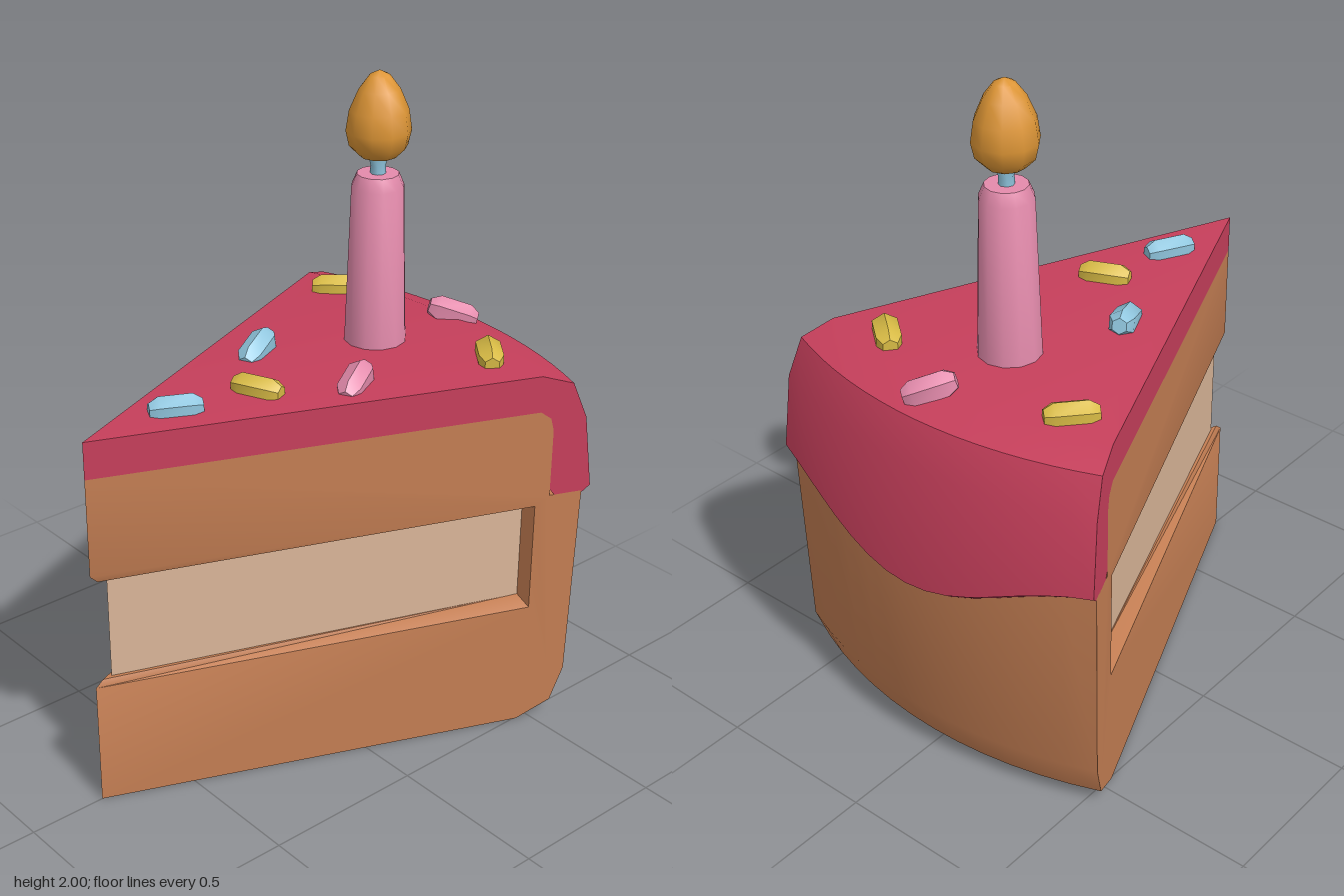
import * as THREE from 'three';
import { toCreasedNormals } from 'three/addons/utils/BufferGeometryUtils.js';

const HALF = Math.PI / 8; // half angle of the slice
const TIP = 0.76; // z of the slice's point
const TOP = 1.18;

const mat = (name, color) => {
  const m = new THREE.MeshStandardMaterial({ color });
  m.name = name;
  return m;
};

// Point of the slice: distance from the tip, angle, height
const at = (r, t, y) => new THREE.Vector3(r * Math.sin(t), y, TIP - r * Math.cos(t));

// Collects triangles and turns them into a geometry with softened edges
class Surface {
  pos = [];
  tri(a, b, c, flip) {
    if (b.clone().sub(a).cross(c.clone().sub(a)).length() < 1e-8) return;
    for (const p of flip ? [a, c, b] : [a, b, c]) this.pos.push(p.x, p.y, p.z);
  }
  quad(a, b, c, d, flip) {
    this.tri(a, b, c, flip);
    this.tri(a, c, d, flip);
  }
  // Sweeps a bottom-to-top profile(t) around the tip
  sweep(profile, steps = 12) {
    for (let i = 0; i < steps; i++) {
      const t0 = HALF * (2 * i / steps - 1), t1 = HALF * (2 * (i + 1) / steps - 1);
      const p = profile(t0).map(([r, y]) => at(r, t0, y));
      const q = profile(t1).map(([r, y]) => at(r, t1, y));
      for (let j = 0; j < p.length - 1; j++) this.quad(p[j], p[j + 1], q[j + 1], q[j]);
    }
  }
  // Flat cut faces on both sides
  cutFaces(outline) {
    const pts = outline.map(([r, y]) => new THREE.Vector2(r, y));
    for (const s of [1, -1]) {
      for (const f of THREE.ShapeUtils.triangulateShape(pts, []))
        this.tri(...f.map(k => at(pts[k].x, s * HALF, pts[k].y)), s < 0);
    }
  }
  build(crease) {
    const g = new THREE.BufferGeometry();
    g.setAttribute('position', new THREE.Float32BufferAttribute(this.pos, 3));
    return toCreasedNormals(g, crease);
  }
}

function spongeGeometry() {
  const s = new Surface();
  const outer = [[0, 0], [1.32, 0], [1.43, 0.05], [1.47, 0.16], [1.488, 0.785],
    [1.385, 0.785], [1.385, 1.0], [1.375, 1.04], [1.342, 1.065], [0, 1.065]];
  const groove = [[0, 0.39], [1.34, 0.405], [1.34, 0.755], [0, 0.76]];
  s.sweep(() => outer);
  s.cutFaces([...outer, ...[...groove].reverse()]);

  // Sloping rim of the filling groove
  const inner = side => [[0, 0.41, 0.735], [0.46, 0.427, -0.48], [0.46, 0.74, -0.48], [0, 0.735, 0.735]]
    .map(([x, y, z]) => new THREE.Vector3(side * x, y, z));
  for (const side of [1, -1]) {
    const a = groove.map(([r, y]) => at(r, side * HALF, y)), b = inner(side);
    for (let k = 0; k < 3; k++) s.quad(a[k], a[k + 1], b[k + 1], b[k], side < 0);
  }
  // Ledges in front of the filling
  const l = inner(-1), r = inner(1);
  s.tri(r[0], r[1], l[1]);
  s.tri(r[3], l[2], r[2]);
  return s.build(0.7);
}

function icingGeometry() {
  const s = new Surface();
  const crown = [[1.487, 1.03], [1.44, 1.145], [1.34, TOP], [0, TOP]];
  // The lower edge droops in the middle of the back
  s.sweep(t => {
    const y = 0.79 - 0.155 * Math.cos(Math.PI * t / (2 * HALF)) ** 2;
    return [[1.4, y - 0.005], [1.49, y - 0.01], [1.515, y + 0.01], ...crown];
  }, 16);
  s.cutFaces([[0, 1.065], [1.342, 1.065], [1.375, 1.04], [1.385, 1.0], [1.385, 0.805],
    [1.4, 0.785], [1.49, 0.78], [1.515, 0.8], ...crown]);
  return s.build(0.75);
}

// Wedge of cream set back from the cut faces
function fillingGeometry() {
  const shape = new THREE.Shape([[0, -0.705], [0.46, 0.48], [-0.46, 0.48]].map(p => new THREE.Vector2(...p)));
  return new THREE.ExtrudeGeometry(shape, { depth: 0.34, bevelEnabled: false })
    .rotateX(-Math.PI / 2).translate(0, 0.405, 0);
}

const lathe = (points, sides, crease = 0.9) =>
  toCreasedNormals(new THREE.LatheGeometry(points.map(p => new THREE.Vector2(...p)), sides), crease);

export function createModel() {
  const model = new THREE.Group();
  model.name = 'cakeSlice';
  const sponge = mat('sponge brown', 0xc47e53);
  const icing = mat('icing red', 0xc63f5b);
  const cream = mat('cream', 0xdab598);
  const pink = mat('candle pink', 0xe48bac);
  const blue = mat('pale blue', 0x90c6de);
  const yellow = mat('sprinkle yellow', 0xd8bb45);
  const orange = mat('flame orange', 0xdd9535);

  const add = (name, geometry, material, parent = model) => {
    const mesh = new THREE.Mesh(geometry, material);
    mesh.name = name;
    parent.add(mesh);
    return mesh;
  };

  add('sponge', spongeGeometry(), sponge);
  add('filling', fillingGeometry(), cream);
  add('icing', icingGeometry(), icing);

  // Candle
  const candle = new THREE.Group();
  candle.name = 'candle';
  candle.position.set(0, 0, -0.295);
  model.add(candle);
  add('candleStick', lathe([[0, 1.16], [0.094, 1.16], [0.078, 1.66], [0.062, 1.697], [0, 1.697]], 12), pink, candle);
  add('wick', lathe([[0.024, 1.68], [0.022, 1.72], [0.034, 1.77]], 8), blue, candle);
  add('flame', lathe([[0, 1.745], [0.055, 1.75], [0.085, 1.78], [0.095, 1.825], [0.086, 1.885],
    [0.06, 1.945], [0.03, 1.985], [0, 2]], 10), orange, candle);

  // Sprinkles: material, x, z, direction in x and z, downward tilt
  const grain = lathe([[0, -0.076], [0.024, -0.076], [0.042, -0.048], [0.042, 0.048], [0.024, 0.076], [0, 0.076]], 6, 0.6);
  grain.rotateX(Math.PI / 2); // lie along z
  const sprinkles = [
    [pink, 0.03, -0.59, 0.1, -0.1, 0.3],
    [yellow, -0.35, -0.45, 0.08, -0.09, 0],
    [yellow, 0.32, -0.455, 0.1, 0.08, 0],
    [pink, 0.205, -0.035, 0.05, 0.1, 0.25],
    [blue, -0.15, 0.035, 0.045, 0.1, 0.25],
    [yellow, 0.06, 0.205, 0.12, -0.05, 0],
    [blue, 0.01, 0.455, 0.05, -0.1, 0],
  ];
  for (const [material, x, z, dx, dz, tilt] of sprinkles) {
    const m = add('sprinkle', grain, material);
    m.position.set(x, TOP + 0.008, z);
    m.rotation.set(tilt, Math.atan2(dx, dz), 0, 'YXZ');
  }
  return model;
}
